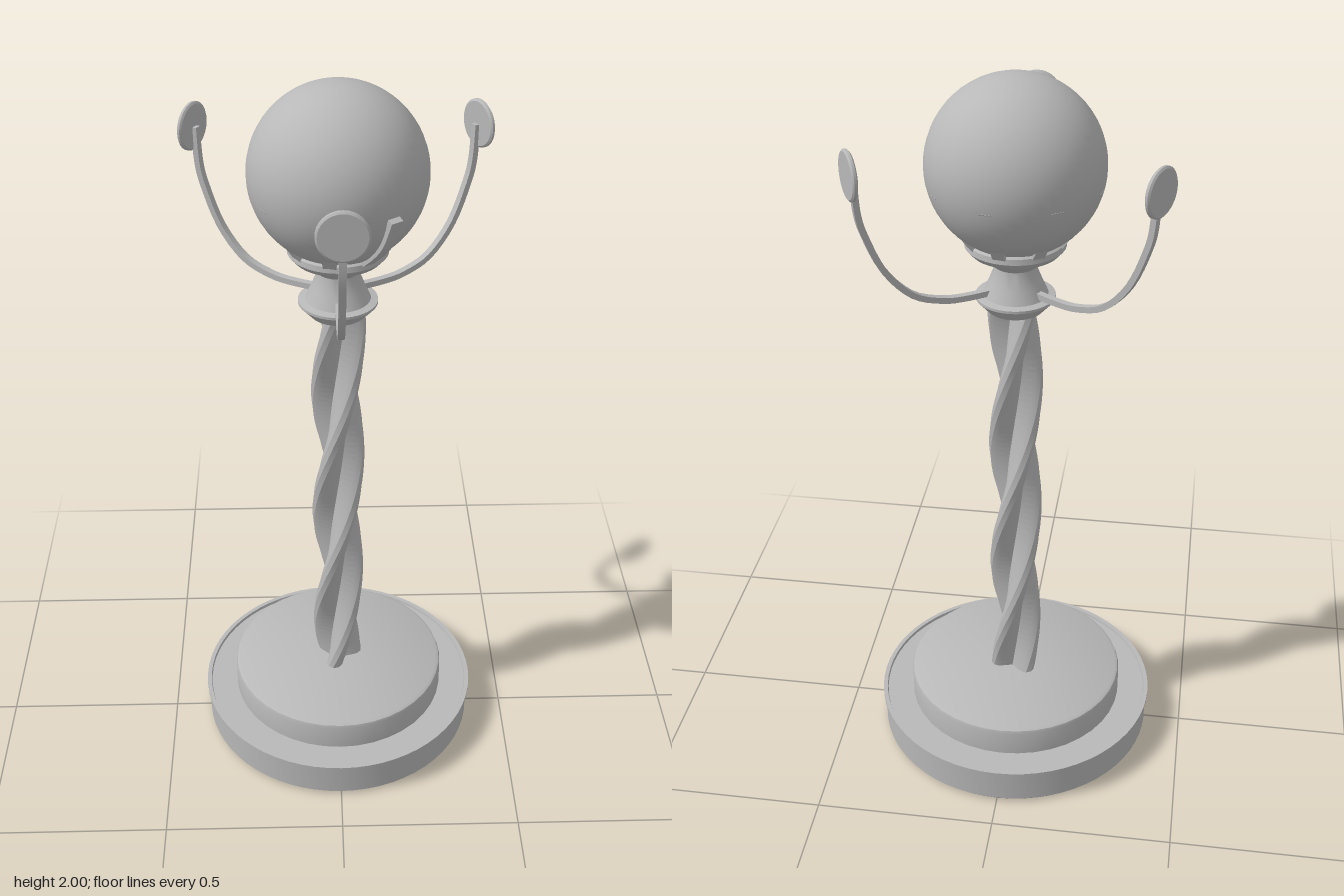
import * as THREE from 'three';
import { toCreasedNormals } from 'three/addons/utils/BufferGeometryUtils.js';

const CENTER_Z = -0.016;

export function createModel() {
  const model = new THREE.Group();
  model.name = 'lampPost';
  const stone = new THREE.MeshStandardMaterial({ color: 0xb8b8b8 });
  stone.name = 'pale grey';

  const add = (name, geometry, parent) => {
    const mesh = new THREE.Mesh(geometry, stone);
    mesh.name = name;
    parent.add(mesh);
    return mesh;
  };
  const lathe = (points, segments) => toCreasedNormals(
    new THREE.LatheGeometry(points.map(([r, y]) => new THREE.Vector2(r, y)), segments), 0.6);

  // Everything turns around one vertical axis
  const post = new THREE.Group();
  post.name = 'post';
  post.position.z = CENTER_Z;
  model.add(post);

  // Two-tier round base with a thin raised rim
  add('lowerBase', lathe([
    [0, 0], [0.385, 0], [0.394, 0.01], [0.394, 0.1], [0.401, 0.103],
    [0.401, 0.112], [0.389, 0.112], [0.387, 0.104], [0, 0.104],
  ], 64), post);
  add('upperBase', lathe([
    [0, 0.1], [0.31, 0.1], [0.31, 0.178], [0.307, 0.186], [0.298, 0.191], [0, 0.191],
  ], 40), post);

  // Column: three thick strands making one full turn
  const bottom = 0.185, height = 1.205, halfWidth = 0.023;
  const points = [];
  for (let i = 0; i < 3; i++) {
    const a = THREE.MathUtils.degToRad(15 + i * 120);
    const corner = (r, w) => points.push(new THREE.Vector2(
      r * Math.cos(a) - w * Math.sin(a), r * Math.sin(a) + w * Math.cos(a)));
    corner(0.052, -halfWidth);
    corner(0.067, -halfWidth * 0.65);
    corner(0.073, 0);
    corner(0.067, halfWidth * 0.65);
    corner(0.052, halfWidth);
    corner(halfWidth / Math.tan(Math.PI / 3), halfWidth);
  }
  const column = new THREE.ExtrudeGeometry(new THREE.Shape(points),
    { depth: height, steps: 72, bevelEnabled: false });
  const pos = column.attributes.position;
  const v = new THREE.Vector3(), axis = new THREE.Vector3(0, 0, 1);
  for (let i = 0; i < pos.count; i++) {
    v.fromBufferAttribute(pos, i);
    v.applyAxisAngle(axis, (v.z / height) * Math.PI * 2);
    pos.setXYZ(i, v.x, v.y, v.z);
  }
  column.rotateX(-Math.PI / 2).translate(0, bottom, 0);
  column.clearGroups();
  add('twistedColumn', toCreasedNormals(column, 0.5), post);

  // Collar and the cup holding the globe
  add('collar', lathe([
    [0, 1.382], [0.074, 1.382], [0.104, 1.415], [0.104, 1.422], [0.085, 1.426],
    [0.07, 1.46], [0.058, 1.49], [0.055, 1.515], [0, 1.515],
  ], 40), post);
  add('cup', lathe([
    [0, 1.505], [0.055, 1.505], [0.078, 1.525], [0.115, 1.545],
    [0.13, 1.562], [0.128, 1.577], [0.115, 1.587], [0, 1.587],
  ], 40), post);

  const globe = add('globe', new THREE.SphereGeometry(0.227, 48, 32), post);
  globe.position.y = 1.773;

  // Flat bar swept along a profile in the (radius, height) plane, facing +z
  const bar = (profile, width, thickness, steps) => {
    const curve = new THREE.SplineCurve(profile.map(([r, y]) => new THREE.Vector2(r, y)));
    const left = [], right = [];
    for (let i = 0; i <= steps; i++) {
      const p = curve.getPoint(i / steps), t = curve.getTangent(i / steps);
      const n = new THREE.Vector2(-t.y, t.x).multiplyScalar(thickness / 2);
      left.push(p.clone().add(n));
      right.unshift(p.clone().sub(n));
    }
    const geometry = new THREE.ExtrudeGeometry(new THREE.Shape([...left, ...right]),
      { depth: width, bevelEnabled: false });
    geometry.translate(0, 0, -width / 2).rotateY(-Math.PI / 2);
    return toCreasedNormals(geometry, 0.6);
  };

  // Three curved arms, each ending in an upright disc
  const armGeometry = bar([
    [0.04, 1.442], [0.13, 1.437], [0.2, 1.442], [0.28, 1.472],
    [0.35, 1.55], [0.395, 1.655], [0.41, 1.72], [0.414, 1.81],
  ], 0.018, 0.016, 28);
  const discGeometry = lathe([
    [0, -0.007], [0.058, -0.007], [0.063, -0.003], [0.063, 0.003], [0.058, 0.007], [0, 0.007],
  ], 32);
  discGeometry.rotateX(Math.PI / 2);
  for (let i = 0; i < 3; i++) {
    const arm = new THREE.Group();
    arm.name = 'arm' + (i + 1);
    arm.rotation.y = (i * Math.PI * 2) / 3;
    add('armBar', armGeometry, arm);
    add('armDisc', discGeometry, arm).position.set(0, 1.81, 0.424);
    post.add(arm);
  }

  // Prongs around the globe: one stands proud, the rest lie almost flush
  const prong = (offset) => bar([
    [0.12, 1.575], [0.165 + offset, 1.62], [0.2 + offset, 1.665], [0.23 + offset, 1.735],
  ], 0.034, 0.016, 8);
  const proud = prong(0.003), flush = prong(-0.014);
  for (let i = 0; i < 8; i++) {
    add('prong' + (i + 1), i === 0 ? proud : flush, post).rotation.y = 0.6 + (i * Math.PI) / 4;
  }

  return model;
}
